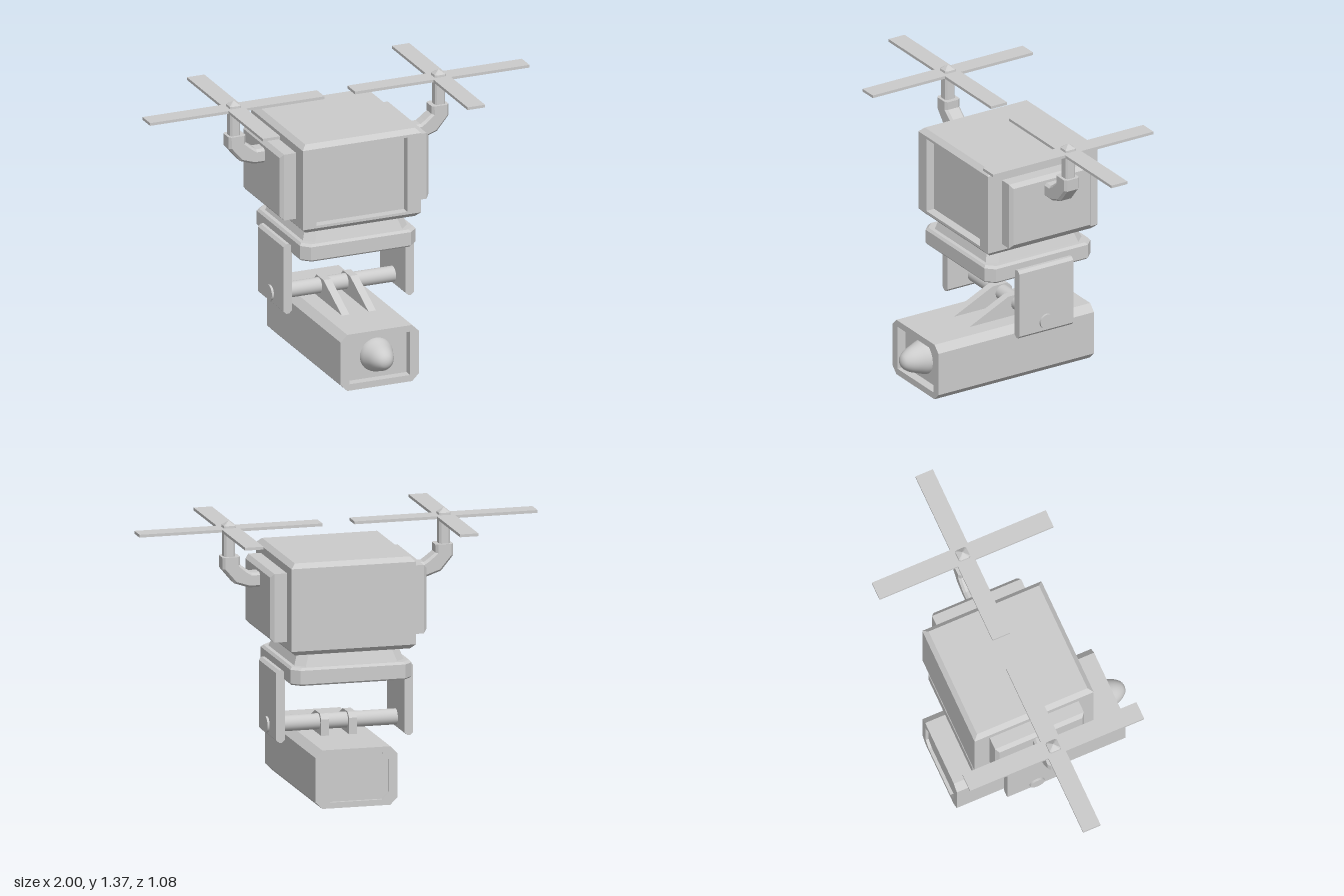
import * as THREE from 'three';

const material = new THREE.MeshStandardMaterial({ color: 0xcccccc, flatShading: true });
const smooth = new THREE.MeshStandardMaterial({ color: 0xcccccc });

// Chamfered rectangle at height z: half width w, half height h, corner cut c
function ring(w, h, c, z) {
  return [[w, c - h], [w, h - c], [w - c, h], [c - w, h], [-w, h - c], [-w, c - h], [c - w, -h], [w - c, -h]]
    .map(([x, y]) => new THREE.Vector3(x, y, z));
}

// Skin a row of rings and cap both ends, with flat faces
function loft(rings) {
  const pos = [], area = new THREE.Triangle();
  const tri = (a, b, c) => {
    if (area.set(a, b, c).getArea() > 1e-8) for (const p of [a, b, c]) pos.push(p.x, p.y, p.z);
  };
  const n = rings[0].length, first = rings[0], last = rings[rings.length - 1];
  for (let r = 0; r < rings.length - 1; r++) {
    const p = rings[r], q = rings[r + 1];
    for (let i = 0; i < n; i++) {
      const j = (i + 1) % n;
      tri(p[i], p[j], q[j]);
      tri(p[i], q[j], q[i]);
    }
  }
  for (let i = 1; i < n - 1; i++) {
    tri(first[0], first[i + 1], first[i]);
    tri(last[0], last[i], last[i + 1]);
  }
  const g = new THREE.BufferGeometry();
  g.setAttribute('position', new THREE.Float32BufferAttribute(pos, 3));
  g.computeVertexNormals();
  return g;
}

const loftUp = rings => loft(rings).rotateX(-Math.PI / 2);
const loftSide = rings => loft(rings).rotateY(Math.PI / 2);

function add(parent, name, geometry, x = 0, y = 0, z = 0, mat = material) {
  const mesh = new THREE.Mesh(geometry, mat);
  mesh.name = name;
  mesh.position.set(x, y, z);
  parent.add(mesh);
  return mesh;
}

// Everything on one side: panel, bracket, arm and rotor
function sideAssembly() {
  const g = new THREE.Group();

  add(g, 'sidePanel', loftSide([
    ring(0.235, 0.17, 0, 0.3), ring(0.235, 0.17, 0, 0.375), ring(0.219, 0.15, 0, 0.393),
  ]), 0, 0.98);

  add(g, 'bracket', loft([ring(0.022, 0.18, 0.014, -0.155), ring(0.022, 0.18, 0.014, 0.155)]), 0.322, 0.473);

  // Arm: sections turning from sideways to upward
  const path = [[0.36, 1.08, 0], [0.44, 1.08, 12], [0.487, 1.1, 45], [0.535, 1.15, 78], [0.535, 1.2, 90]];
  add(g, 'arm', loft(path.map(([x, y, deg], i) => ring(0.042, i < 2 ? 0.037 : 0.045, 0.012, 0).map(p => p
    .applyAxisAngle(new THREE.Vector3(0, 1, 0), Math.PI / 2)
    .applyAxisAngle(new THREE.Vector3(0, 0, 1), deg * Math.PI / 180)
    .add(new THREE.Vector3(x, y, 0))))));

  const rotor = new THREE.Group();
  rotor.name = 'rotor';
  rotor.position.x = 0.54;
  g.add(rotor);
  add(rotor, 'mast', loftUp([
    ring(0.027, 0.027, 0.009, 1.18), ring(0.027, 0.027, 0.009, 1.328),
    ring(0.031, 0.031, 0.007, 1.335), ring(0.029, 0.029, 0.007, 1.353), ring(0.003, 0.003, 0.001, 1.373),
  ]));
  add(rotor, 'bladePairSideways', new THREE.BoxGeometry(0.92, 0.014, 0.092), 0, 1.335);
  for (const s of [1, -1])
    add(rotor, 'bladeLengthways', new THREE.BoxGeometry(0.092, 0.014, 0.414), 0, 1.335, s * 0.253);
  return g;
}

export function createModel() {
  const model = new THREE.Group();
  model.name = 'flyingCamera';
  const core = new THREE.Group();
  core.name = 'core';
  core.position.z = -0.076;
  model.add(core);

  // Main body with bevelled top and bottom and a recessed front
  add(core, 'body', loft([
    ring(0.312, 0.205, 0, -0.315), ring(0.312, 0.228, 0.023, -0.292),
    ring(0.312, 0.228, 0.023, 0.292), ring(0.312, 0.205, 0, 0.315),
    ring(0.24, 0.192, 0, 0.315), ring(0.24, 0.192, 0, 0.27),
  ]), 0, 0.982);

  // Neck and base plate below the body
  add(core, 'neck', loftUp([ring(0.278, 0.278, 0.045, 0.68), ring(0.248, 0.248, 0.045, 0.765)]));
  add(core, 'basePlate', loftUp([
    ring(0.298, 0.298, 0.04, 0.602), ring(0.304, 0.304, 0.04, 0.61),
    ring(0.304, 0.304, 0.04, 0.678), ring(0.294, 0.294, 0.04, 0.69),
  ]));

  for (const [name, turn] of [['leftSide', 0], ['rightSide', Math.PI]]) {
    const side = sideAssembly();
    side.name = name;
    side.rotation.y = turn;
    core.add(side);
  }

  // Pivot rod and the two lugs that hang from it
  add(core, 'pivotRod', new THREE.CylinderGeometry(0.039, 0.039, 0.71, 32).rotateZ(Math.PI / 2), 0, 0.353, 0, smooth);
  const lug = new THREE.Shape([
    [0.281, 0.28], [0.281, 0.29], [0.055, 0.397], [-0.03, 0.397], [-0.055, 0.372], [-0.055, 0.28],
  ].map(p => new THREE.Vector2(...p)));
  for (const x of [-0.07, 0.07])
    add(core, 'lug', new THREE.ExtrudeGeometry(lug, { depth: 0.04, bevelEnabled: false })
      .translate(0, 0, -0.02).rotateY(-Math.PI / 2), x);

  // Camera housing, recessed at both ends
  add(model, 'cameraHousing', loft([
    ring(0.165, 0.116, 0.035, -0.422), ring(0.165, 0.116, 0.035, -0.438),
    ring(0.206, 0.145, 0.035, -0.438), ring(0.206, 0.145, 0.035, 0.455),
    ring(0.16, 0.112, 0, 0.455), ring(0.16, 0.112, 0, 0.41),
  ]), 0, 0.146);

  // Domed lens
  const dome = new THREE.SplineCurve([
    [0.086, 0.405], [0.083, 0.425], [0.072, 0.455], [0.056, 0.497], [0.035, 0.527], [0.015, 0.538], [0, 0.54],
  ].map(p => new THREE.Vector2(...p)));
  const profile = dome.getPoints(18);
  profile.forEach(p => { p.x = Math.max(p.x, 0); });
  add(model, 'lens', new THREE.LatheGeometry(profile, 32).rotateX(Math.PI / 2), 0, 0.15, 0, smooth);

  return model;
}
